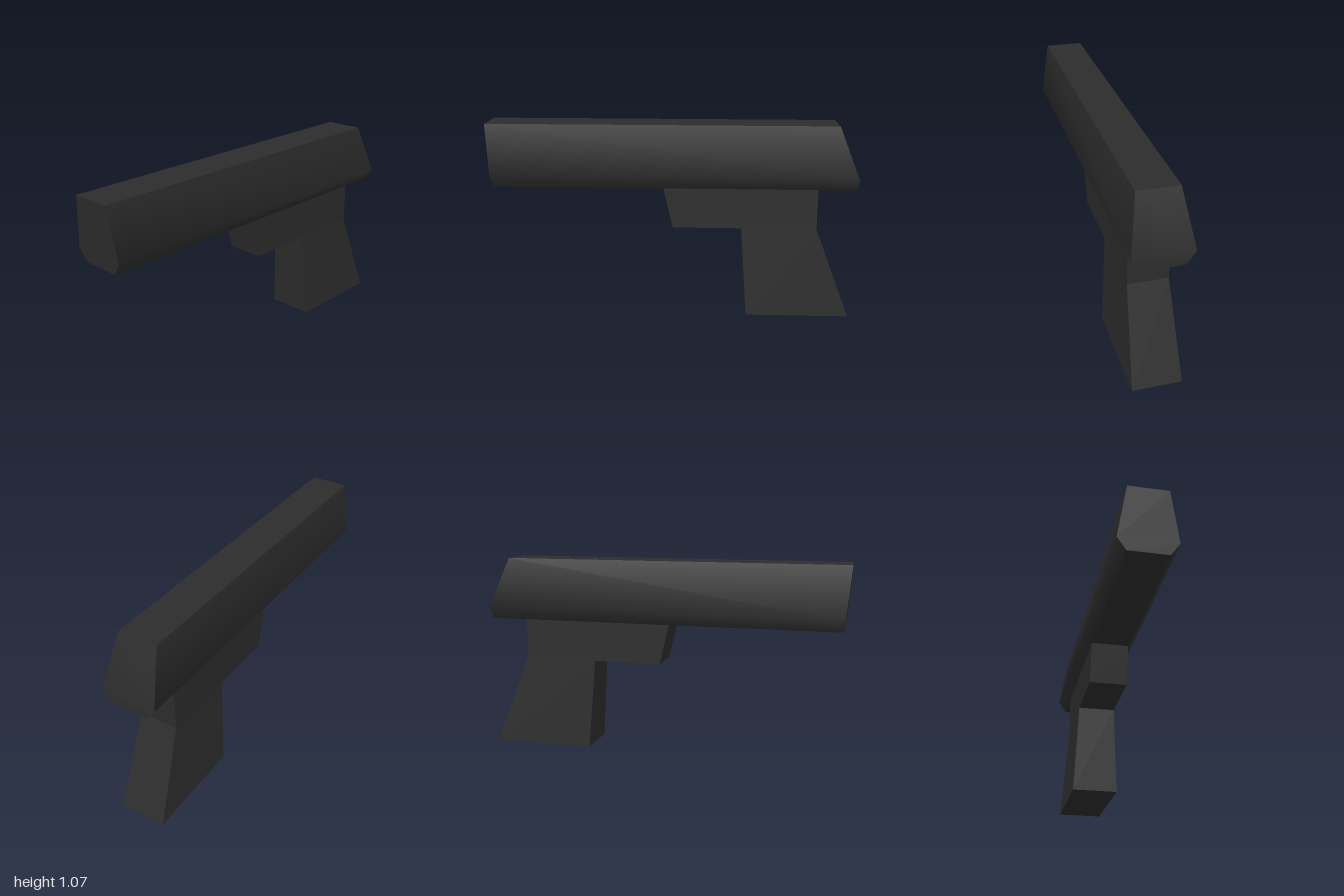
import * as THREE from 'three';
import { toCreasedNormals } from 'three/addons/utils/BufferGeometryUtils.js';

// Solid between two matching rings, each clockwise when seen from outside ring a.
// Caps are filled in rows, pairing each point with its mirror image.
function loft(a, b, crease) {
  const pos = [];
  const quad = (p, q, r, s) => pos.push(...p, ...q, ...r, ...p, ...r, ...s);
  const n = a.length;
  for (let i = 0; i < n; i++) {
    const j = (i + 1) % n;
    quad(a[i], a[j], b[j], b[i]);
  }
  for (let i = 0; i < n / 2 - 1; i++) {
    const m = n - 1 - i;
    quad(a[i], a[m], a[m - 1], a[i + 1]);
    quad(b[i], b[i + 1], b[m - 1], b[m]);
  }
  const geometry = new THREE.BufferGeometry();
  geometry.setAttribute('position', new THREE.Float32BufferAttribute(pos, 3));
  return toCreasedNormals(geometry, crease);
}

// Mirrors a half outline to the -x side
const mirrored = (half) => [...half, ...half.map(([x, y, z]) => [-x, y, z]).reverse()];

// Level rectangle at height y
const level = (y, halfWidth, back, front) =>
  mirrored([[halfWidth, y, back], [halfWidth, y, front]]);

export function createModel() {
  const model = new THREE.Group();
  const darkGrey = new THREE.MeshStandardMaterial({ color: 0x2c2c2c });
  darkGrey.name = 'darkGrey';

  const add = (name, geometry) => {
    const mesh = new THREE.Mesh(geometry, darkGrey);
    mesh.name = name;
    model.add(mesh);
  };

  // Long top body: six-sided section, raked ends, softened lower edge
  add('upperBody', loft(
    mirrored([[0.105, 1.065, 1], [0.152, 0.785, 0.976], [0.105, 0.72, 0.97]]),
    mirrored([[0.105, 1.065, -0.89], [0.152, 0.785, -1], [0.105, 0.72, -1]]),
    0.87
  ));

  // Block beneath the body
  add('lowerFrame', loft(level(0.72, 0.105, -0.793, 0.042), level(0.5, 0.105, -0.793, -0.01), 0.1));

  // Flared, slanted handle
  add('handle', loft(level(0.5, 0.105, -0.793, -0.385), level(0, 0.128, -0.985, -0.42), 0.1));

  return model;
}
